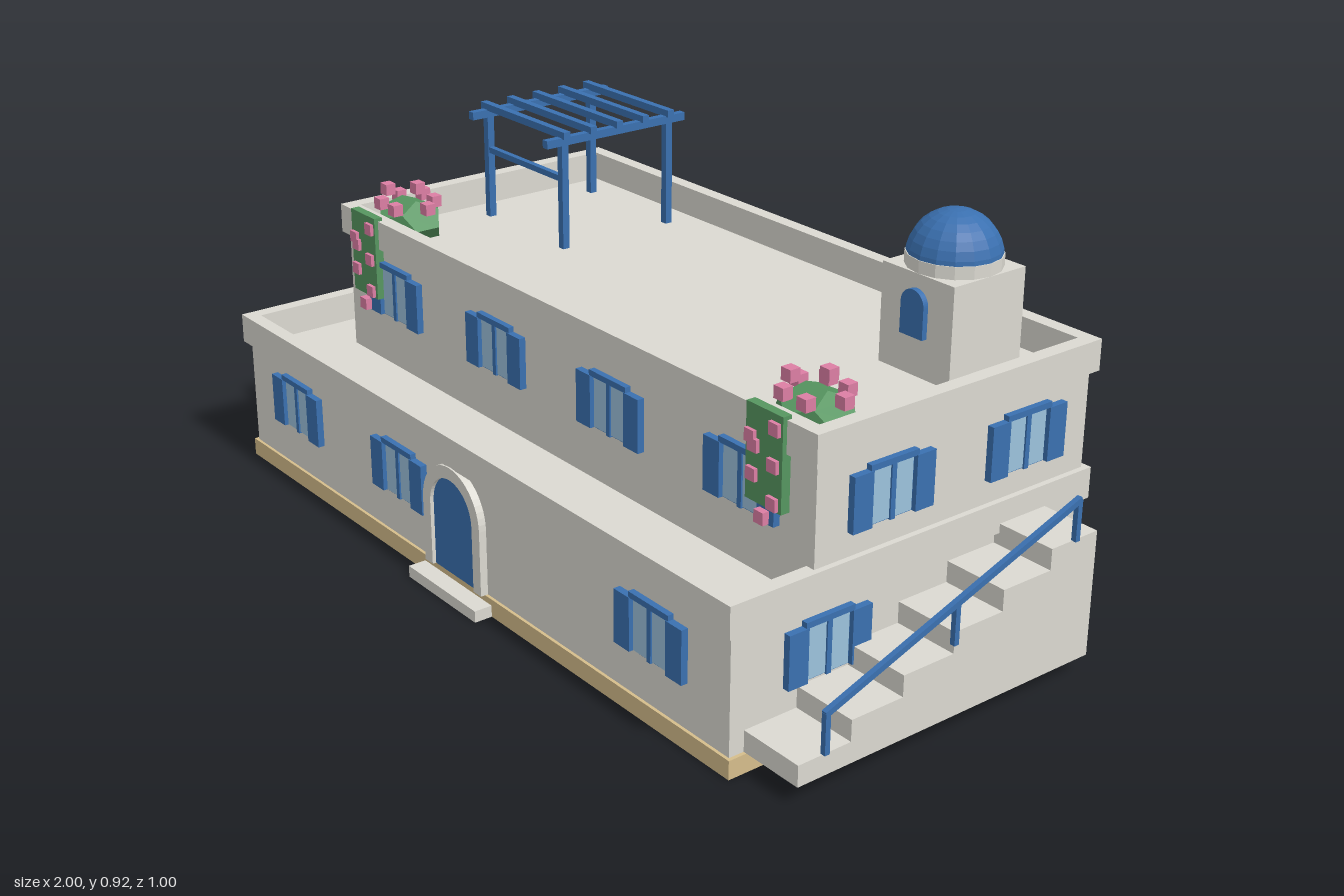
import * as THREE from 'three';

const mat = (name, color) => Object.assign(new THREE.MeshStandardMaterial({ color }), { name });

export function createModel() {
  const M = {
    wall: mat('whitewash', 0xdbd9d1),
    sand: mat('sandstone', 0xd5bd8b),
    blue: mat('blue paint', 0x3a70b0),
    glass: mat('window glass', 0x9cc2dc),
    green: mat('foliage', 0x569660),
    pink: mat('blossom', 0xdc7ea4),
  };
  const root = new THREE.Group();
  root.name = 'villa';

  const add = (parent, name, geo, m, x = 0, y = 0, z = 0) => {
    const mesh = new THREE.Mesh(geo, m);
    mesh.name = name;
    mesh.position.set(x, y, z);
    parent.add(mesh);
    return mesh;
  };
  // box given by its min and max corners
  const box = (parent, name, m, x0, x1, y0, y1, z0, z1) =>
    add(parent, name, new THREE.BoxGeometry(x1 - x0, y1 - y0, z1 - z0), m,
      (x0 + x1) / 2, (y0 + y1) / 2, (z0 + z1) / 2);
  const group = (name, x = 0, y = 0, z = 0) => {
    const g = new THREE.Group();
    g.name = name;
    g.position.set(x, y, z);
    root.add(g);
    return g;
  };
  const extrude = (shape, depth) =>
    new THREE.ExtrudeGeometry(shape, { depth, bevelEnabled: false, curveSegments: 12 });

  // Rectangular parapet ring
  const parapet = (name, x0, x1, y0, y1, z0, z1, t) => {
    const rect = (P, i) => {
      const p = new P();
      p.moveTo(x0 + i, -z1 + i).lineTo(x1 - i, -z1 + i);
      p.lineTo(x1 - i, -z0 - i).lineTo(x0 + i, -z0 - i).closePath();
      return p;
    };
    const s = rect(THREE.Shape, 0);
    s.holes.push(rect(THREE.Path, t));
    add(root, name, extrude(s, y1 - y0), M.wall, 0, y0, 0).rotation.x = -Math.PI / 2;
  };

  // Storeys
  box(root, 'plinth', M.sand, -0.995, 0.848, 0, 0.042, -0.495, 0.46);
  box(root, 'lowerStorey', M.wall, -0.985, 0.84, 0.042, 0.303, -0.485, 0.453);
  parapet('terraceParapet', -1, 0.853, 0.303, 0.373, -0.5, 0.467, 0.034);
  box(root, 'upperStorey', M.wall, -0.825, 0.84, 0.303, 0.588, -0.485, 0.253);
  parapet('roofParapet', -0.84, 0.853, 0.588, 0.657, -0.5, 0.266, 0.034);

  // Shuttered windows, built facing +z and turned to each wall
  const windowAt = (x, y, z, turn) => {
    const g = group('shutteredWindow', x, y, z);
    g.rotation.y = turn;
    box(g, 'windowFrame', M.blue, -0.06, 0.06, 0, 0.122, 0, 0.005);
    box(g, 'windowPane', M.glass, -0.053, 0.053, 0.003, 0.119, 0, 0.008);
    box(g, 'mullion', M.blue, -0.006, 0.006, 0, 0.12, 0, 0.012);
    box(g, 'lintel', M.blue, -0.062, 0.062, 0.118, 0.131, 0, 0.014);
    for (const s of [-1, 1])
      add(g, 'shutter', new THREE.BoxGeometry(0.049, 0.119, 0.016), M.blue, s * 0.081, 0.0595, 0.008);
  };
  const lowY = 0.144, highY = 0.426, Q = Math.PI / 2;
  for (const x of [-0.755, -0.3, 0.61]) windowAt(x, lowY, 0.453, 0);
  for (const x of [-0.755, -0.3, 0.155, 0.61]) windowAt(x, lowY, -0.485, Math.PI);
  for (const x of [-0.615, -0.2, 0.217, 0.635]) {
    windowAt(x, highY, 0.253, 0);
    windowAt(x, highY, -0.485, Math.PI);
  }
  for (const z of [0.066, -0.302]) {
    windowAt(0.84, highY, z, Q);
    windowAt(-0.825, highY, z, -Q);
  }
  windowAt(0.84, lowY, 0.217, Q);
  for (const z of [0.217, -0.25]) windowAt(-0.985, lowY, z, -Q);

  // Arched shapes standing on y = 0
  const arch = (r, spring) => {
    const s = new THREE.Shape();
    s.moveTo(-r, 0).lineTo(r, 0).lineTo(r, spring);
    s.absarc(0, spring, r, 0, Math.PI, false);
    return s.closePath();
  };
  const archFrame = (r, inner, spring) => {
    const s = new THREE.Shape();
    s.moveTo(inner, 0).lineTo(r, 0).lineTo(r, spring);
    s.absarc(0, spring, r, 0, Math.PI, false);
    s.lineTo(-r, 0).lineTo(-inner, 0).lineTo(-inner, spring);
    s.absarc(0, spring, inner, Math.PI, 0, true);
    return s.closePath();
  };

  // Entrance
  const entry = group('entrance', -0.075, 0.042, 0.453);
  add(entry, 'door', extrude(arch(0.081, 0.158), 0.009), M.blue);
  add(entry, 'doorSurround', extrude(archFrame(0.11, 0.081, 0.153), 0.018), M.wall);
  box(root, 'doorstep', M.wall, -0.205, 0.058, 0, 0.027, 0.44, 0.503);

  // Outside stair, a stepped side profile extruded across its width
  const run = 0.1305, rise = 0.047, n = 6;
  const side = new THREE.Shape();
  side.moveTo(-0.417, 0.042);
  for (let i = 0; i < n; i++) {
    side.lineTo(-0.417 + i * run, 0.042 + (i + 1) * rise);
    side.lineTo(-0.417 + (i + 1) * run, 0.042 + (i + 1) * rise);
  }
  side.lineTo(-0.417 + n * run, 0.042).closePath();
  add(root, 'staircase', extrude(side, 0.155), M.wall, 0.837, 0, 0).rotation.y = Q;

  // Stair railing
  const rail = group('stairRailing');
  const posts = [[0.353, 0.09, 0.178], [0.027, 0.205, 0.295], [-0.3, 0.323, 0.412]];
  for (const [z, y0, y1] of posts)
    box(rail, 'railPost', M.blue, 0.988, 1, y0, y1, z - 0.006, z + 0.006);
  const dz = 0.653, dy = 0.234;
  add(rail, 'handrail', new THREE.BoxGeometry(0.012, 0.013, Math.hypot(dz, dy) + 0.01), M.blue,
    0.994, 0.295, 0.0265).rotation.x = Math.atan2(dy, dz);

  // Domed roof tower
  const tower = group('domedTower', 0.64, 0, -0.285);
  box(tower, 'towerBlock', M.wall, -0.1, 0.1, 0.588, 0.805, -0.1, 0.1);
  const drum = new THREE.CylinderGeometry(0.1, 0.1, 0.027, 16).toNonIndexed();
  drum.computeVertexNormals();
  add(tower, 'drum', drum, M.wall, 0, 0.8185, 0);
  const dome = new THREE.SphereGeometry(0.099, 16, 8, 0, Math.PI * 2, 0, Q).toNonIndexed();
  dome.computeVertexNormals();
  add(tower, 'dome', dome, M.blue, 0, 0.822, 0);
  add(tower, 'towerDoor', extrude(arch(0.032, 0.068), 0.013), M.blue, 0, 0.675, 0.1);

  // Pergola
  const pergola = group('pergola');
  for (const x of [-0.723, -0.418]) {
    for (const z of [-0.085, -0.39])
      box(pergola, 'pergolaPost', M.blue, x - 0.009, x + 0.009, 0.588, 0.84, z - 0.009, z + 0.009);
    box(pergola, 'pergolaBeam', M.blue, x - 0.009, x + 0.009, 0.838, 0.857, -0.437, -0.035);
  }
  for (let i = 0; i < 5; i++) {
    const z = -0.085 - i * 0.076;
    box(pergola, 'pergolaSlat', M.blue, -0.742, -0.4, 0.855, 0.872, z - 0.009, z + 0.009);
  }
  box(pergola, 'pergolaTieBar', M.blue, -0.72, -0.42, 0.75, 0.764, -0.092, -0.078);

  // Flowering climbers at the front corners
  const blossoms = [
    [-0.035, 0.60, 0.272], [0.033, 0.636, 0.272], [-0.026, 0.584, 0.272], [0.03, 0.56, 0.272],
    [-0.03, 0.523, 0.272], [0.03, 0.482, 0.272], [-0.003, 0.442, 0.272],
    [-0.035, 0.70, 0.183], [0.04, 0.672, 0.21], [-0.065, 0.668, 0.135], [0.07, 0.668, 0.14],
    [0.02, 0.707, 0.135], [-0.03, 0.672, 0.09], [0.035, 0.672, 0.1], [-0.03, 0.67, 0.205],
  ];
  for (const x of [-0.723, 0.717]) {
    const g = group('floweringClimber', x, 0, 0);
    box(g, 'hangingVine', M.green, -0.052, 0.052, 0.465, 0.665, 0.255, 0.276);
    add(g, 'bush', new THREE.DodecahedronGeometry(0.086), M.green, 0, 0.62, 0.148).scale.y = 0.72;
    for (const [bx, by, bz] of blossoms)
      add(g, 'blossom', new THREE.BoxGeometry(0.027, 0.027, 0.025), M.pink, bx, by, bz);
  }
  return root;
}
